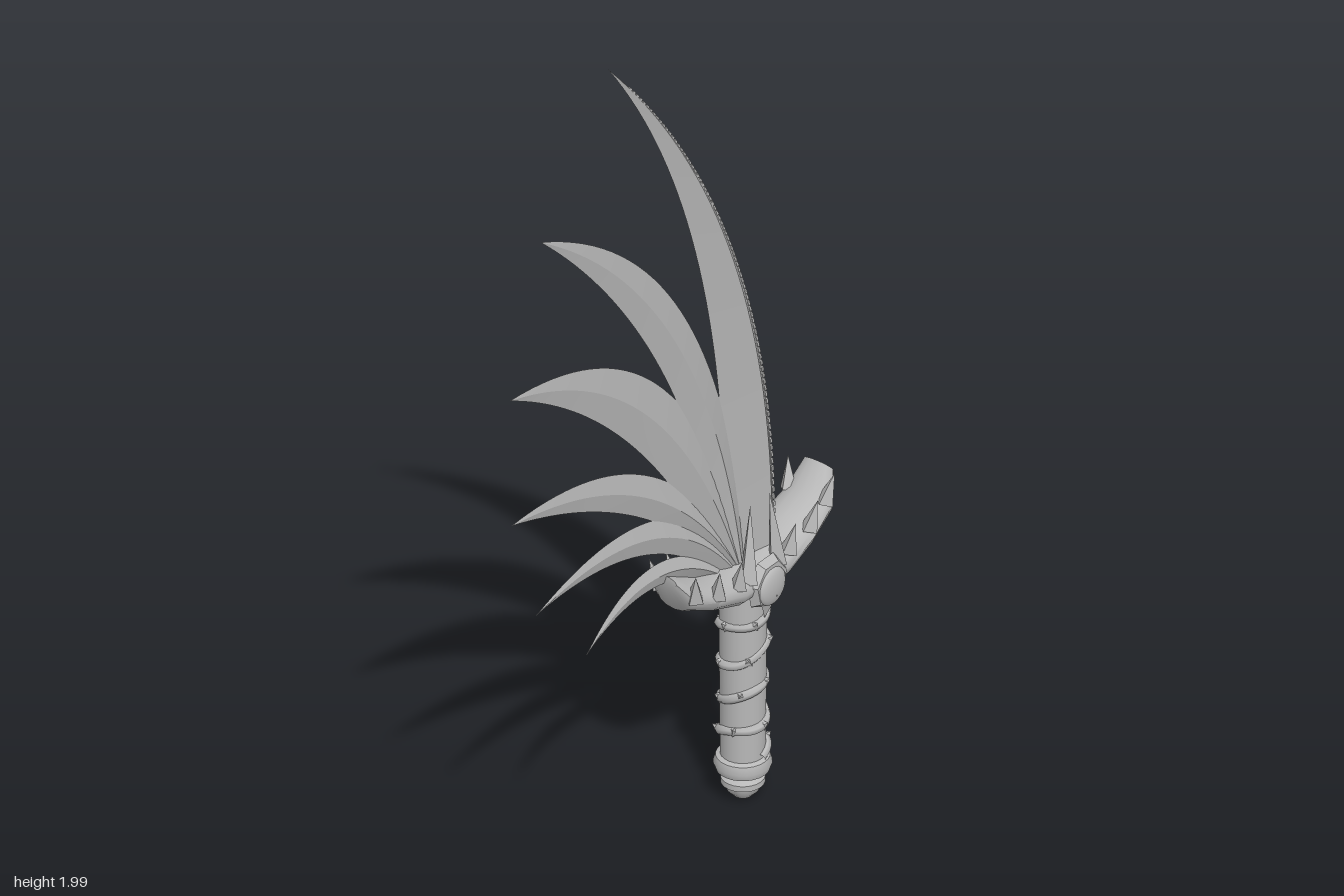
import * as THREE from 'three';
import { toCreasedNormals } from 'three/addons/utils/BufferGeometryUtils.js';

const steel = new THREE.MeshStandardMaterial({ color: 0xb8b8b8 });
steel.name = 'steel grey';
const CX = 0.263; // axis of the handle

// Skin over a list of rings (arrays of Vector3), closed at both ends
function loft(rings, crease) {
  const n = rings[0].length, pos = [], idx = [];
  rings.forEach(r => r.forEach(p => pos.push(p.x, p.y, p.z)));
  for (let i = 0; i < rings.length - 1; i++) {
    for (let k = 0; k < n; k++) {
      const a = i * n + k, b = i * n + (k + 1) % n;
      idx.push(a, b, a + n, b, b + n, a + n);
    }
  }
  const last = (rings.length - 1) * n;
  for (let k = 1; k < n - 1; k++) {
    idx.push(0, k + 1, k, last, last + k, last + k + 1);
  }
  const g = new THREE.BufferGeometry();
  g.setAttribute('position', new THREE.Float32BufferAttribute(pos, 3));
  g.setIndex(idx);
  return toCreasedNormals(g, crease);
}

function add(parent, name, geometry, x = 0, y = 0, z = 0) {
  const m = new THREE.Mesh(geometry, steel);
  m.name = name;
  m.position.set(x, y, z);
  parent.add(m);
  return m;
}

// Arc from one point to another passing through a middle point
function arc(from, through, to) {
  const [a, m, b] = [from, through, to].map(p => new THREE.Vector3(p[0], p[1], 0));
  const control = m.multiplyScalar(2).addScaledVector(a, -0.5).addScaledVector(b, -0.5);
  return new THREE.QuadraticBezierCurve3(a, control, b);
}

// Curved blade of diamond section between a convex and a concave edge, tip first
function bladeGeometry(outer, inner, half, ridge) {
  const rings = [];
  for (let i = 0; i <= 32; i++) {
    const t = i / 32, o = outer.getPoint(t), n = inner.getPoint(t);
    const mid = n.clone().lerp(o, ridge), h = 0.0008 + half * Math.pow(t, 0.9);
    rings.push([o, mid.clone().setZ(h), n, mid.clone().setZ(-h)]);
  }
  return loft(rings, 0.18);
}

// Four-sided spike standing at a base point and pointing along a direction
function spike(parent, name, base, dir, radius, height) {
  const g = new THREE.ConeGeometry(radius, height, 4).translate(0, height / 2, 0);
  const m = add(parent, name, toCreasedNormals(g, 0.3), ...base);
  m.quaternion.setFromUnitVectors(new THREE.Vector3(0, 1, 0), new THREE.Vector3(...dir).normalize());
}

// Blades: tip, then middle and base of the convex edge, then of the concave edge
const BLADES = [
  [[-0.195, 1.99], [0.24, 1.315], [0.365, 0.56], [0.115, 1.35], [0.2, 0.56]],
  [[-0.425, 1.69], [0.055, 1.275], [0.27, 0.58], [-0.02, 1.18], [0.2, 0.56]],
  [[-0.53, 1.36], [-0.03, 1.145], [0.26, 0.58], [-0.12, 1.045], [0.2, 0.56]],
  [[-0.525, 1.055], [-0.07, 0.945], [0.25, 0.57], [-0.1, 0.86], [0.22, 0.55]],
  [[-0.44, 0.795], [-0.04, 0.82], [0.25, 0.57], [-0.08, 0.755], [0.2, 0.55]],
  [[-0.268, 0.612], [-0.04, 0.71], [0.2, 0.58], [-0.03, 0.655], [0.2, 0.54]],
];

// Guard stations along x: top point, bottom point, half depth
const GUARD = [
  [-0.005, 0.67, -0.005, 0.645, 0.032], [0.03, 0.65, 0.03, 0.57, 0.05], [0.1, 0.61, 0.1, 0.537, 0.063],
  [0.19, 0.59, 0.185, 0.505, 0.068], [0.33, 0.585, 0.335, 0.503, 0.07],
  [0.41, 0.605, 0.42, 0.538, 0.068], [0.47, 0.632, 0.505, 0.577, 0.058], [0.51, 0.685, 0.534, 0.655, 0.036],
];

export function createModel() {
  const root = new THREE.Group();
  root.name = 'fanBladedSword';

  // Fan of blades, thinner toward the lowest
  const blades = new THREE.Group();
  blades.name = 'blades';
  root.add(blades);
  BLADES.forEach(([tip, outMid, outBase, inMid, inBase], i) => {
    const outer = arc(tip, outMid, outBase), inner = arc(tip, inMid, inBase);
    add(blades, i ? 'sideBlade' + i : 'mainBlade', bladeGeometry(outer, inner, 0.022 - 0.0016 * i, i ? 0.5 : 0.8));
    if (i) return;
    // Fine teeth down the spine of the main blade
    for (let k = 6; k < 88; k++) {
      const t = k / 90, p = inner.getPoint(t).lerp(outer.getPoint(t), 0.9), d = outer.getTangent(t);
      const tooth = add(blades, 'spineTooth', new THREE.BoxGeometry(0.011, 0.004 + 0.003 * t, 0.004 + 0.028 * t), p.x, p.y);
      tooth.rotation.z = Math.atan2(d.y, d.x);
    }
  });

  // Upswept guard
  const guard = new THREE.Group();
  guard.name = 'guard';
  root.add(guard);
  add(guard, 'guardBody', loft(GUARD.map(([tx, ty, bx, by, depth]) => {
    const ring = [];
    for (let k = 0; k < 16; k++) {
      const a = k / 16 * Math.PI * 2, f = (1 - Math.cos(a)) / 2;
      ring.push(new THREE.Vector3(tx + (bx - tx) * f, ty + (by - ty) * f, depth * Math.sin(a)));
    }
    return ring;
  }), 0.7));

  // Spikes, gem and setting on both faces of the guard
  const small = [[0.04, 0.605], [0.105, 0.583], [0.175, 0.57], [0.345, 0.57], [0.415, 0.588], [0.48, 0.615]];
  for (const s of [1, -1]) {
    for (const [x, y] of small) {
      const z = x < 0.05 || x > 0.47 ? 0.046 : 0.055;
      spike(guard, 'guardSpike', [x, y, s * z], [(x - CX) * 1.1, 1, s * 0.2], 0.021, 0.07);
    }
    for (const side of [1, -1]) {
      spike(guard, 'tallSpike', [CX + side * 0.05, 0.56, s * 0.052], [-side * 0.1, 1, -s * 0.05], 0.023, 0.175);
    }
    const setting = add(guard, 'gemSetting',
      toCreasedNormals(new THREE.CylinderGeometry(0.05, 0.062, 0.018, 7), 0.4), CX, 0.54, s * 0.066);
    setting.rotation.x = s * Math.PI / 2;
    add(guard, 'gem', new THREE.SphereGeometry(0.043, 20, 12).scale(1, 1, 0.32), CX, 0.535, s * 0.074);
    // Pointed tongue below the gem
    spike(guard, 'settingTongue', [CX, 0.52, s * 0.062], [0, -1, -s * 0.1], 0.026, 0.07);
  }

  // Grip with a spiral wrap
  const handle = new THREE.Group();
  handle.name = 'handle';
  handle.position.x = CX;
  root.add(handle);
  add(handle, 'grip', new THREE.CylinderGeometry(0.05, 0.047, 0.43, 24), 0, 0.305);
  const path = [];
  for (let i = 0; i <= 110; i++) {
    const t = i / 110, a = t * 4.6 * Math.PI * 2;
    const r = 0.046 + 0.002 * Math.sin(a * 2.3);
    path.push(new THREE.Vector3(r * Math.sin(a), 0.11 + 0.39 * t + 0.006 * Math.sin(a * 1.7), r * Math.cos(a)));
  }
  add(handle, 'gripWrap', new THREE.TubeGeometry(new THREE.CatmullRomCurve3(path), 220, 0.011, 6));
  // Rough chips along the wrap
  for (let i = 4; i < 110; i += 5) {
    const p = path[i];
    spike(handle, 'wrapChip', [p.x, p.y, p.z], [p.x, 0.03, p.z], 0.014, 0.018);
  }

  // Pommel rings and rounded knob
  const profile = [[0, 0], [0.02, 0.005], [0.034, 0.02], [0.037, 0.032], [0.046, 0.037], [0.046, 0.05],
    [0.034, 0.058], [0.036, 0.066], [0.056, 0.07], [0.061, 0.085], [0.056, 0.102], [0.045, 0.108], [0, 0.108]];
  const pommel = new THREE.LatheGeometry(profile.map(p => new THREE.Vector2(...p)), 24);
  add(handle, 'pommel', toCreasedNormals(pommel, 0.7));
  return root;
}
